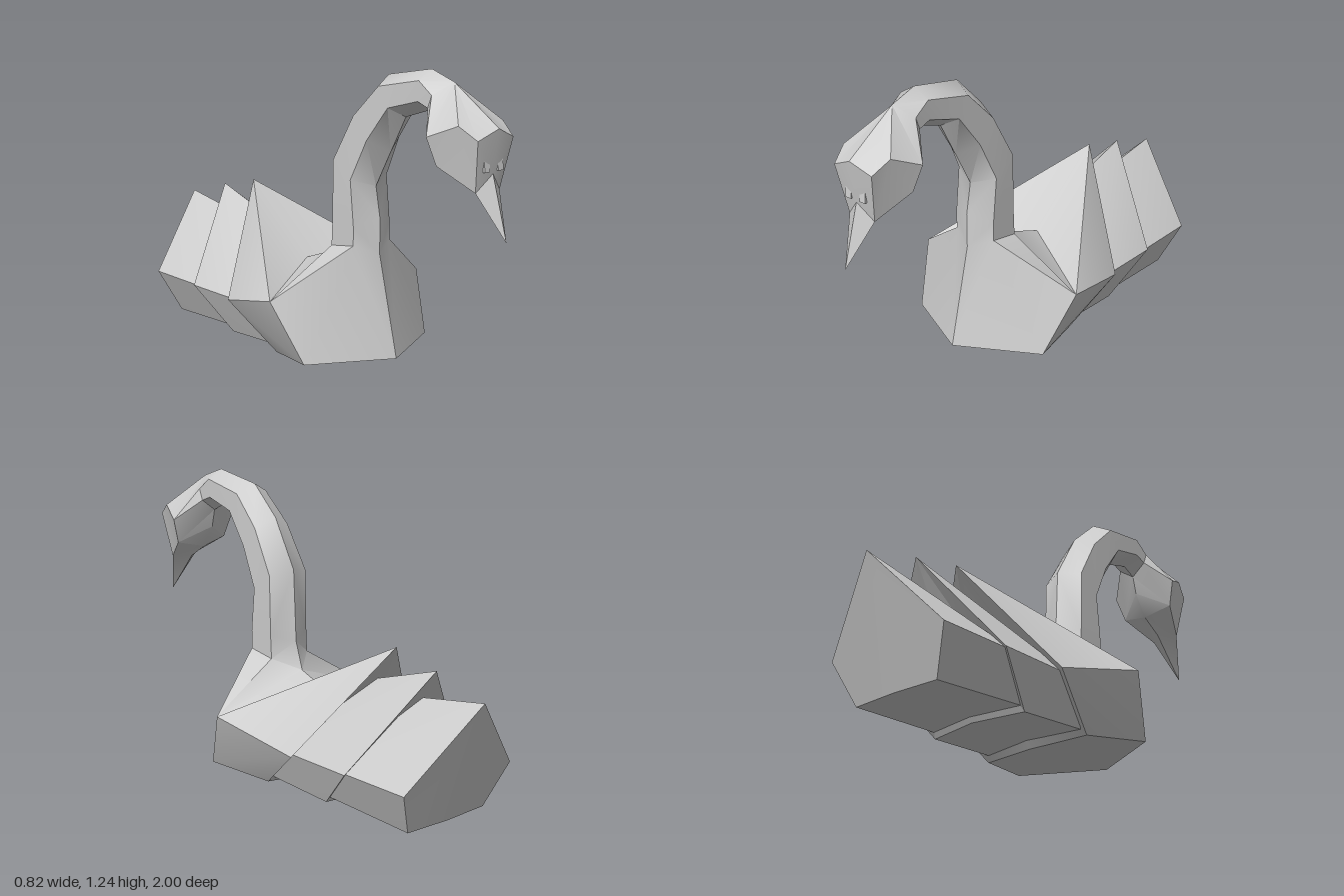
import * as THREE from 'three';
import { toCreasedNormals } from 'three/addons/utils/BufferGeometryUtils.js';

const material = new THREE.MeshStandardMaterial({ color: 0xcccccc, side: THREE.DoubleSide });

// Folded-paper mesh: polygons of the +x half, fanned into triangles and mirrored to -x
function folded(name, polys, crease = 0.6) {
  const pos = [];
  const flip = ([x, y, z]) => [-x, y, z];
  for (const p of polys) {
    for (let i = 1; i < p.length - 1; i++) {
      pos.push(...p[0], ...p[i], ...p[i + 1]);
      pos.push(...flip(p[0]), ...flip(p[i + 1]), ...flip(p[i]));
    }
  }
  const geo = new THREE.BufferGeometry();
  geo.setAttribute('position', new THREE.Float32BufferAttribute(pos, 3));
  const mesh = new THREE.Mesh(toCreasedNormals(geo, crease), material);
  mesh.name = name;
  return mesh;
}

// Half cross-sections of the neck: back ridge, back edge, front edge, front centre
const neckRings = [
  [[0, 0.43, 0.045], [0.1, 0.48, 0.13], [0.1, 0.5, 0.265], [0, 0.46, 0.315]],
  [[0, 0.55, 0.085], [0.1, 0.58, 0.135], [0.1, 0.58, 0.265], [0, 0.61, 0.315]],
  [[0, 0.86, 0.1], [0.1, 0.84, 0.14], [0.1, 0.77, 0.245], [0, 0.74, 0.29]],
  [[0, 1.07, 0.22], [0.09, 1.03, 0.25], [0.09, 0.94, 0.33], [0, 0.89, 0.375]],
  [[0, 1.2, 0.36], [0.08, 1.16, 0.385], [0.08, 1.08, 0.44], [0, 1.04, 0.46]],
  [[0, 1.24, 0.6], [0.07, 1.2, 0.6], [0.07, 1.12, 0.595], [0, 1.08, 0.59]],
  [[0, 1.2, 0.72], [0.07, 1.15, 0.67], [0.07, 1.1, 0.65], [0, 1.05, 0.655]],
];

function neckPolys() {
  const out = [];
  for (let r = 0; r < neckRings.length - 1; r++) {
    const a = neckRings[r], b = neckRings[r + 1];
    for (let i = 0; i < 3; i++) out.push([a[i + 1], a[i], b[i], b[i + 1]]);
  }
  return out;
}

function bodyPolys() {
  const [back, backEdge, frontEdge, front] = neckRings[0];
  const keel = [0, 0.04, 0.42], corner = [0.34, 0.04, 0.24], shoulder = [0.41, 0.29, 0.11];
  const rearSide = [0.335, 0.2, -0.28], rearBottom = [0.26, 0.01, -0.04], rearKeel = [0, 0, -0.08];
  const peak = [0, 0.65, -0.53], valley = [0, 0.36, -0.15];
  return [
    // chest
    [keel, corner, frontEdge], [keel, frontEdge, front],
    [corner, shoulder, frontEdge], [shoulder, backEdge, frontEdge],
    // flank and outer wing
    [corner, rearBottom, rearSide, shoulder], [shoulder, rearSide, peak],
    // hollow behind the neck
    [shoulder, peak, valley], [shoulder, valley, back], [shoulder, back, backEdge],
    // rear and underside
    [peak, rearSide, rearBottom, rearKeel], [keel, rearKeel, rearBottom, corner],
  ];
}

// Nested tail pleat: ridge, side and bottom points of its front and rear ends
function tailPleat(name, f, r) {
  const frontKeel = [0, f.bottom[1], f.bottom[2]];
  return folded(name, [
    [f.bottom, r.bottom, r.side, f.side],
    [f.side, r.side, r.ridge, f.ridge],
    [r.ridge, r.side, r.bottom, r.keel],
    [frontKeel, r.keel, r.bottom, f.bottom],
    [f.ridge, frontKeel, f.bottom, f.side],
  ], 0.4);
}

function headPolys() {
  const [nape, napeEdge, throatEdge, throat] = neckRings[neckRings.length - 1];
  const crown = [0, 1.05, 0.95], temple = [0.095, 1.01, 0.935], brow = [0.12, 1.06, 0.86];
  const cheek = [0.165, 1.01, 0.74], jaw = [0.13, 0.9, 0.76], beakBase = [0.065, 0.81, 0.9];
  const bridge = [0, 0.88, 0.925], tip = [0, 0.63, 1];
  const gullet = [0, 0.97, 0.675], under = [0, 0.87, 0.74], chin = [0, 0.81, 0.84];
  return [
    // top of the head
    [nape, crown, temple], [nape, temple, brow], [nape, brow, cheek], [nape, cheek, napeEdge],
    [napeEdge, cheek, throatEdge],
    // cheeks
    [brow, temple, beakBase], [brow, beakBase, jaw], [brow, jaw, cheek],
    // underside
    [throatEdge, cheek, jaw], [throatEdge, jaw, throat], [throat, jaw, gullet], [gullet, jaw, under],
    [under, jaw, beakBase, chin], [chin, beakBase, tip],
    // face and beak
    [crown, bridge, temple], [temple, bridge, beakBase], [bridge, tip, beakBase],
  ];
}

export function createModel() {
  const swan = new THREE.Group();
  swan.name = 'foldedSwan';
  swan.add(folded('bodyAndNeck', [...bodyPolys(), ...neckPolys()]));
  swan.add(folded('head', headPolys()));

  swan.add(tailPleat('middleTailPleat',
    { ridge: [0, 0.46, -0.3], side: [0.31, 0.2, -0.2], bottom: [0.245, 0.035, -0.02] },
    { ridge: [0, 0.6, -0.75], side: [0.31, 0.2, -0.57], bottom: [0.235, 0.015, -0.38], keel: [0, 0.015, -0.42] }));
  swan.add(tailPleat('rearTailPleat',
    { ridge: [0, 0.465, -0.6], side: [0.3, 0.2, -0.5], bottom: [0.23, 0.04, -0.36] },
    { ridge: [0, 0.53, -1], side: [0.295, 0.2, -0.88], bottom: [0.21, 0.015, -0.82], keel: [0, 0.015, -0.83] }));

  // small eye plates on the face
  for (const side of [1, -1]) {
    const eye = new THREE.Mesh(new THREE.BoxGeometry(0.028, 0.042, 0.01), material);
    eye.name = side > 0 ? 'leftEye' : 'rightEye';
    eye.position.set(side * 0.036, 0.91, 0.924);
    eye.rotation.x = -0.1;
    swan.add(eye);
  }
  return swan;
}
